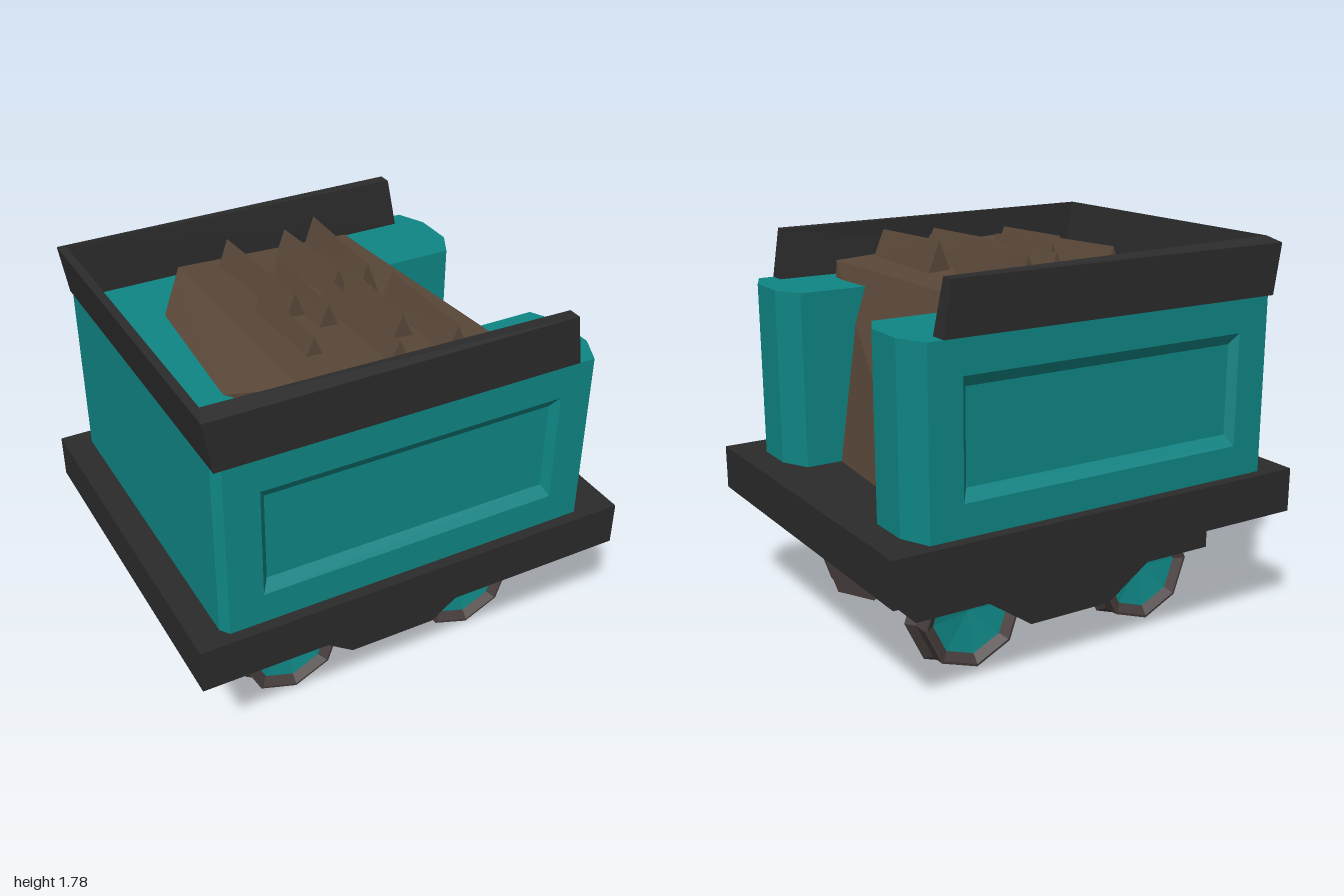
import * as THREE from 'three';
import { ConvexGeometry } from 'three/addons/geometries/ConvexGeometry.js';

const mat = (color) => new THREE.MeshStandardMaterial({ color, flatShading: true, side: THREE.DoubleSide });
const teal = mat(0x0f8684), black = mat(0x2b2b2b), brown = mat(0x5a4839), iron = mat(0x473e3d);

const V = (x, y, z) => new THREE.Vector3(x, y, z);

function add(parent, name, geometry, material, x = 0, y = 0, z = 0) {
  const mesh = new THREE.Mesh(geometry, material);
  mesh.name = name;
  mesh.position.set(x, y, z);
  parent.add(mesh);
  return mesh;
}

// Skin closed loops of points; optionally close both ends
function loft(loops, capped = true) {
  const n = loops[0].length, pos = [];
  const tri = (...pts) => pts.forEach((p) => pos.push(p.x, p.y, p.z));
  for (let s = 0; s < loops.length - 1; s++) {
    for (let i = 0; i < n; i++) {
      const j = (i + 1) % n;
      const a = loops[s][i], b = loops[s][j], c = loops[s + 1][j], d = loops[s + 1][i];
      tri(a, b, c);
      tri(a, c, d);
    }
  }
  if (capped) {
    const first = loops[0], last = loops[loops.length - 1];
    for (let i = 1; i < n - 1; i++) {
      tri(first[0], first[i + 1], first[i]);
      tri(last[0], last[i], last[i + 1]);
    }
  }
  const g = new THREE.BufferGeometry();
  g.setAttribute('position', new THREE.Float32BufferAttribute(pos, 3));
  g.computeVertexNormals();
  return g;
}

const shapeOf = (pts) => new THREE.Shape(pts.map(([x, y]) => new THREE.Vector2(x, y)));

function buildBody(group) {
  const body = new THREE.Group();
  body.name = 'bunkerBody';
  group.add(body);
  const y0 = 0.75, y1 = 1.535, zOut = 0.78, zIn = 0.745;
  const px0 = -0.7, px1 = 0.66, py0 = 0.89, py1 = 1.39;

  // U-shaped plan: half outline from the notch round to the closed end, then mirrored
  const half = [
    [0.2, 0.335], [0.805, 0.335], [0.87, 0.46], [0.87, 0.65], [0.81, zOut],
    [px1, zOut], [px1, zIn], [px0, zIn], [px0, zOut], [-0.85, zOut], [-0.88, 0.74],
  ];
  const plan = [...half, ...half.map(([x, z]) => [x, -z]).reverse()];
  const walls = new THREE.ExtrudeGeometry(shapeOf(plan), { depth: y1 - y0, bevelEnabled: false });
  walls.rotateX(-Math.PI / 2);
  add(body, 'bunkerWalls', walls, teal, 0, y0, 0);

  // Recessed side panels: strips above and below, and a sloped frame
  const rect = (inset, z) => {
    const dx = inset * 0.03, dy = inset * 0.05;
    return [V(px0 + dx, py0 + dy, z), V(px1 - dx, py0 + dy, z), V(px1 - dx, py1 - dy, z), V(px0 + dx, py1 - dy, z)];
  };
  for (const side of [1, -1]) {
    for (const [lo, hi] of [[y0, py0], [py1, y1]]) {
      add(body, 'panelStrip', new THREE.BoxGeometry(px1 - px0, hi - lo, zOut - zIn), teal,
        (px0 + px1) / 2, (lo + hi) / 2, side * (zOut + zIn) / 2);
    }
    add(body, 'panelBevel', loft([rect(0, side * zOut), rect(1, side * zIn)], false), teal);
  }
}

// Flared board round three sides of the top
function buildRim(group) {
  const y0 = 1.535;
  const end = (s) => [V(0.74, y0, s * 0.78), V(0.705, 1.757, s * 0.78), V(0.705, 1.757, s * 0.72), V(0.74, y0, s * 0.7)];
  const corner = (s) => [V(-0.88, y0, s * 0.78), V(-0.915, 1.757, s * 0.78), V(-0.89, 1.78, s * 0.71), V(-0.84, y0, s * 0.7)];
  add(group, 'topRim', loft([end(1), corner(1), corner(-1), end(-1)]), black);
}

function buildLoad(group) {
  const load = new THREE.Group();
  load.name = 'load';
  group.add(load);
  add(load, 'loadHeap', new ConvexGeometry([
    V(0.41, 1.59, -0.61), V(0.49, 1.61, 0.63), V(-0.45, 1.65, -0.555), V(-0.44, 1.67, 0.61),
    V(-0.6, 1.53, -0.37), V(-0.64, 1.53, 0.31),
    V(0.7, 0.75, -0.45), V(0.63, 0.75, 0.45), V(-0.45, 0.75, -0.45), V(-0.45, 0.75, 0.45),
  ]), brown);

  // Ridged chunks on top: x and z of each end, then ridge height
  const chunks = [
    [-0.235, -0.5, -0.19, 0.07, 1.76], [-0.105, -0.25, -0.105, 0.2, 1.75],
    [-0.28, -0.05, -0.275, 0.4, 1.745], [0.035, -0.48, 0.07, -0.04, 1.755],
    [0.2, -0.52, 0.195, -0.01, 1.765], [0.13, -0.07, 0.125, 0.4, 1.74],
    [0, 0, 0.01, 0.57, 1.74], [0.255, 0.09, 0.265, 0.59, 1.75],
  ];
  for (const [xa, za, xb, zb, top] of chunks) {
    const tri = (x, z, t) => [V(x - 0.055, 1.61, z), V(x + 0.055, 1.61, z), V(x, t, z)];
    add(load, 'loadChunk', loft([tri(xb, zb, top - 0.01), tri(xa, za, top)]), brown);
  }
}

function buildRunningGear(group) {
  const gear = new THREE.Group();
  gear.name = 'runningGear';
  group.add(gear);

  // Underframe with a dropped middle
  const frame = new THREE.ExtrudeGeometry(shapeOf([
    [-0.74, 0.44], [-0.74, 0.35], [-0.4, 0.35], [-0.19, 0.205],
    [0.22, 0.205], [0.43, 0.35], [0.775, 0.35], [0.775, 0.44],
  ]), { depth: 1.18, bevelEnabled: false });
  add(gear, 'underframe', frame, black, 0, 0, -0.59);

  // Eight-sided flanged wheels with dished hubs
  const lathe = (pts) => new THREE.LatheGeometry(pts.map(([r, h]) => new THREE.Vector2(r, h)), 8).rotateX(Math.PI / 2);
  const wheel = lathe([[0, 0.39], [0.268, 0.39], [0.237, 0.435], [0.237, 0.51], [0.225, 0.512], [0.185, 0.485]]);
  const hub = lathe([[0.187, 0.485], [0, 0.455]]);
  for (const x of [-0.45, 0.455]) {
    const axleSet = new THREE.Group();
    axleSet.name = 'wheelSet';
    axleSet.position.set(x, 0.27, 0);
    gear.add(axleSet);
    add(axleSet, 'axle', new THREE.CylinderGeometry(0.05, 0.05, 0.8, 8).rotateX(Math.PI / 2), iron);
    for (const turn of [0, Math.PI]) {
      const side = new THREE.Group();
      side.name = 'wheel';
      side.rotation.set(0, turn, 0.06);
      add(side, 'wheelTyre', wheel, iron);
      add(side, 'wheelHub', hub, teal);
      axleSet.add(side);
    }
  }
}

export function createModel() {
  const group = new THREE.Group();
  group.name = 'railTender';
  add(group, 'deck', new THREE.BoxGeometry(2, 0.2, 1.66), black, 0, 0.65, 0);
  buildBody(group);
  buildRim(group);
  buildLoad(group);
  buildRunningGear(group);
  return group;
}
